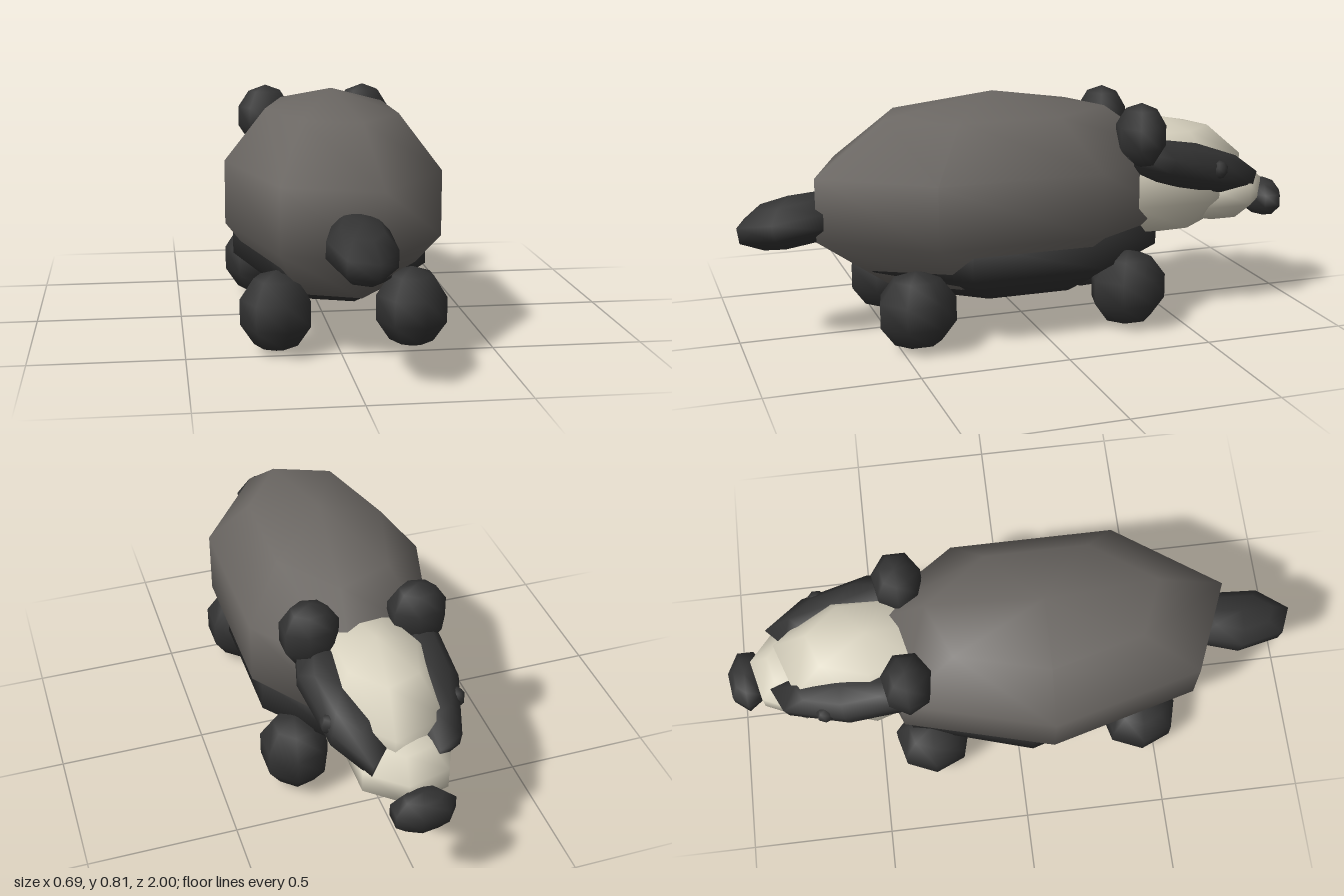
import * as THREE from 'three';

const material = (name, color) => {
  const m = new THREE.MeshStandardMaterial({ color });
  m.name = name;
  return m;
};

export function createModel() {
  const model = new THREE.Group();
  model.name = 'badger';

  const grey = material('grey fur', 0x6b6763);
  const dark = material('dark fur', 0x333333);
  const cream = material('cream fur', 0xd8d2bf);

  // Every part is a stretched, smooth low-poly ball; the odd side count sets the axis at x = MID
  const ball = new THREE.SphereGeometry(1, 7, 5);
  const MID = 0.017;

  const part = (name, mat, [x, y, z], [rx, ry, rz], pitch = 0, yaw = 0) => {
    const mesh = new THREE.Mesh(ball, mat);
    mesh.name = name;
    mesh.position.set(MID + x, y, z);
    mesh.scale.set(rx, ry, rz);
    mesh.rotation.set(pitch, yaw, 0);
    model.add(mesh);
  };

  // Trunk and tail
  part('body', grey, [0, 0.465, 0.11], [0.382, 0.35, 0.685]);
  part('belly', dark, [0, 0.298, 0.04], [0.35, 0.203, 0.56]);
  part('tail', dark, [0, 0.415, 0.8], [0.113, 0.088, 0.21], 0.15);

  // Head, pointing to -z
  part('head', cream, [0, 0.473, -0.49], [0.23, 0.217, 0.35]);
  part('snout', cream, [0, 0.405, -0.735], [0.178, 0.115, 0.19]);
  part('nose', dark, [0, 0.358, -0.935], [0.113, 0.072, 0.07]);

  // Paired parts
  for (const [side, s] of [['left', 1], ['right', -1]]) {
    part(`${side}FaceStripe`, dark, [s * 0.15, 0.53, -0.57], [0.1, 0.085, 0.3], -0.25, s * 0.15);
    part(`${side}Eye`, dark, [s * 0.21, 0.525, -0.655], [0.03, 0.033, 0.033]);
    part(`${side}Ear`, dark, [s * 0.182, 0.66, -0.367], [0.105, 0.115, 0.09]);
    part(`${side}HeadEndLeg`, dark, [s * 0.222, 0.135, -0.31], [0.124, 0.135, 0.14]);
    part(`${side}TailEndLeg`, dark, [s * 0.222, 0.135, 0.445], [0.124, 0.135, 0.14]);
  }

  return model;
}
